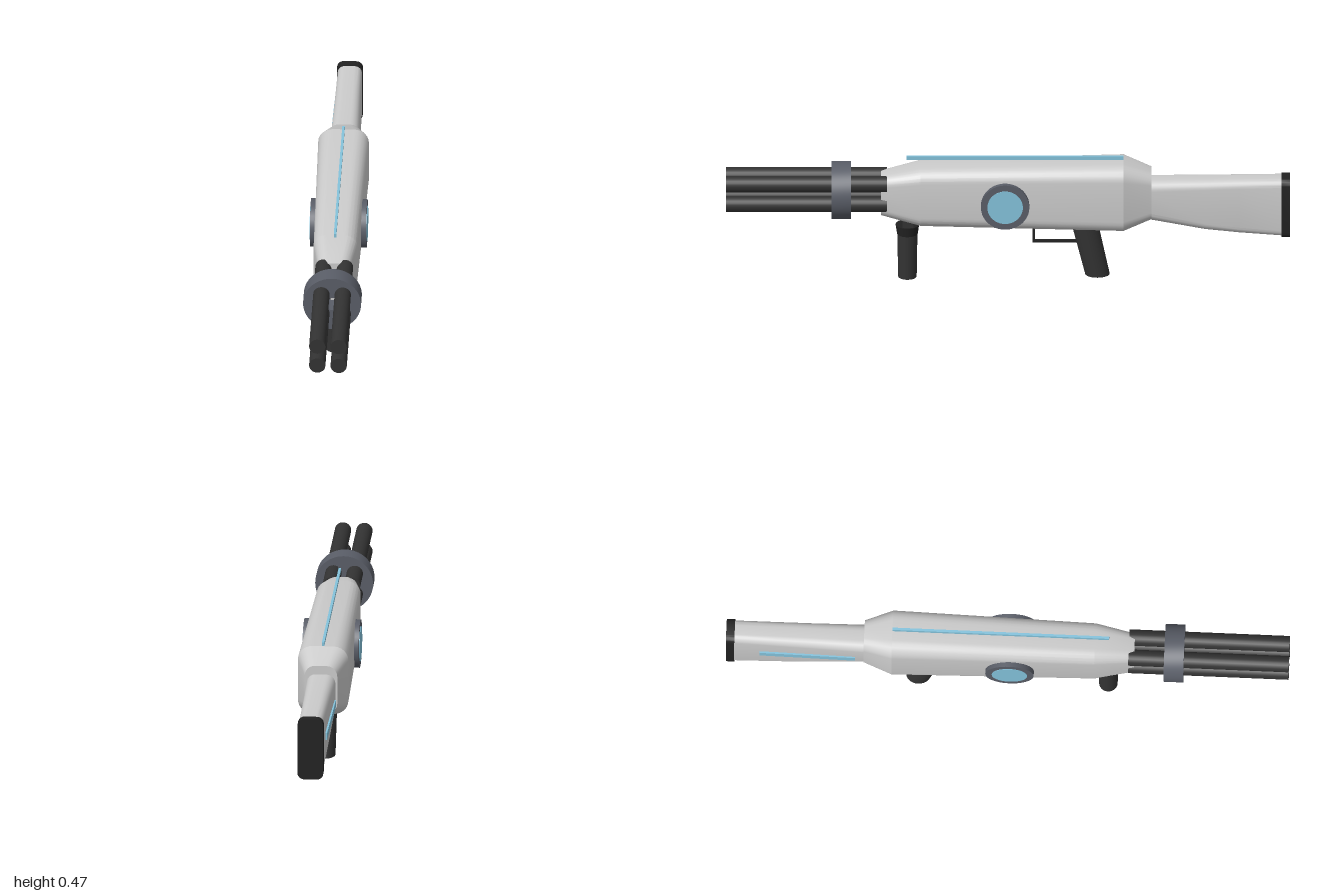
import * as THREE from 'three';
import { toCreasedNormals } from 'three/addons/utils/BufferGeometryUtils.js';

const mat = (color) => new THREE.MeshStandardMaterial({ color });

// Rounded-rectangle outline, counter-clockwise seen from +z
function outline(halfW, y0, y1, r, steps = 6) {
  const pts = [];
  const corners = [[1, y1 - r], [-1, y1 - r], [-1, y0 + r], [1, y0 + r]];
  corners.forEach(([s, cy], q) => {
    for (let k = 0; k <= steps; k++) {
      const a = (q + k / steps) * Math.PI / 2;
      pts.push([s * (halfW - r) + r * Math.cos(a), cy + r * Math.sin(a)]);
    }
  });
  return pts;
}

// Skin over sections [z, halfWidth, bottom, top, radius], ordered back to front
function loft(sections) {
  const pos = [], idx = [];
  let n = 0;
  for (const [z, w, y0, y1, r] of sections) {
    const ring = outline(w, y0, y1, r);
    n = ring.length;
    ring.forEach(([x, y]) => pos.push(x, y, z));
  }
  const last = (sections.length - 1) * n;
  for (let i = 0; i < last; i += n) {
    for (let j = 0; j < n; j++) {
      const k = (j + 1) % n;
      idx.push(i + j, i + k, i + n + k, i + j, i + n + k, i + n + j);
    }
  }
  for (let j = 1; j < n - 1; j++) {
    idx.push(0, j + 1, j, last, last + j, last + j + 1);
  }
  const g = new THREE.BufferGeometry();
  g.setAttribute('position', new THREE.Float32BufferAttribute(pos, 3));
  g.setIndex(idx);
  return toCreasedNormals(g, 0.3);
}

export function createModel() {
  const model = new THREE.Group();
  const shell = mat(0xcccccc), dark = mat(0x333333), black = mat(0x222222);
  const steel = mat(0x5a5e68), glow = mat(0x84c3dc);

  const add = (name, geometry, material, x = 0, y = 0, z = 0) => {
    const mesh = new THREE.Mesh(geometry, material);
    mesh.name = name;
    mesh.position.set(x, y, z);
    model.add(mesh);
    return mesh;
  };
  const box = (name, w, h, d, material, x, y, z) =>
    add(name, new THREE.BoxGeometry(w, h, d), material, x, y, z);

  // Main housing, tapered at both ends
  add('body', loft([
    [-0.51, 0.058, 0.235, 0.415, 0.038],
    [-0.41, 0.09, 0.198, 0.453, 0.052],
    [0.31, 0.078, 0.214, 0.435, 0.046],
    [0.45, 0.055, 0.25, 0.4, 0.034],
  ]), shell);

  // Shoulder stock and its pad
  add('stock', loft([
    [-0.97, 0.043, 0.169, 0.389, 0.026],
    [-0.82, 0.045, 0.181, 0.387, 0.028],
    [-0.7, 0.047, 0.194, 0.385, 0.03],
    [-0.49, 0.052, 0.235, 0.383, 0.034],
  ]), shell);
  add('buttPad', loft([
    [-1, 0.046, 0.165, 0.392, 0.024],
    [-0.97, 0.046, 0.165, 0.392, 0.024],
  ]), black);
  const stripe = box('stockStripe', 0.012, 0.026, 0.34, glow, -0.047, 0.285, -0.71);
  stripe.rotation.y = -0.015;

  // Thin rail along the top
  box('topRail', 0.009, 0.013, 0.77, glow, 0, 0.461, -0.025);

  // Four barrels held by a clamp with a central hole
  for (const x of [-0.038, 0.038]) {
    for (const y of [0.298, 0.375]) {
      const barrel = new THREE.CylinderGeometry(0.029, 0.029, 0.57, 24).rotateX(Math.PI / 2);
      add('barrel', barrel, dark, x, y, 0.715);
    }
  }
  const clampShape = new THREE.Shape().absarc(0, 0, 0.103, 0, Math.PI * 2);
  clampShape.holes.push(new THREE.Path().absarc(0, 0, 0.025, 0, Math.PI * 2, true));
  const clamp = new THREE.ExtrudeGeometry(clampShape, { depth: 0.07, bevelEnabled: false, curveSegments: 32 });
  add('barrelClamp', toCreasedNormals(clamp, 0.5), steel, 0, 0.336, 0.557);

  // Round window on each side
  for (const s of [-1, 1]) {
    const rim = new THREE.CylinderGeometry(0.086, 0.086, 0.05, 40).rotateZ(Math.PI / 2);
    add('windowRim', rim, steel, s * 0.075, 0.312, 0.01);
    const lens = new THREE.CylinderGeometry(0.063, 0.063, 0.01, 40).rotateZ(Math.PI / 2);
    add('windowLens', lens, glow, s * 0.097, 0.312, 0.01);
  }

  // Front grip with collar and neck
  add('frontGrip', new THREE.CylinderGeometry(0.036, 0.033, 0.185, 24), dark, 0, 0.0925, 0.357);
  add('frontGripCollar', new THREE.CylinderGeometry(0.042, 0.037, 0.035, 24), black, 0, 0.185, 0.357);
  box('frontGripNeck', 0.066, 0.03, 0.04, dark, 0, 0.213, 0.355);

  // Rear grip, an oval column leaning backward
  const grip = new THREE.CylinderGeometry(0.046, 0.042, 0.22, 24, 1);
  grip.scale(0.88, 1, 1.04);
  const p = grip.attributes.position;
  for (let i = 0; i < p.count; i++) p.setZ(i, p.getZ(i) + p.getY(i) * 0.23);
  grip.computeVertexNormals();
  add('rearGrip', toCreasedNormals(grip, 0.5), dark, 0, 0.12, -0.292);

  // Trigger guard
  box('triggerGuardFront', 0.014, 0.08, 0.008, black, 0, 0.175, -0.091);
  box('triggerGuardBottom', 0.014, 0.008, 0.165, black, 0, 0.137, -0.169);

  return model;
}
